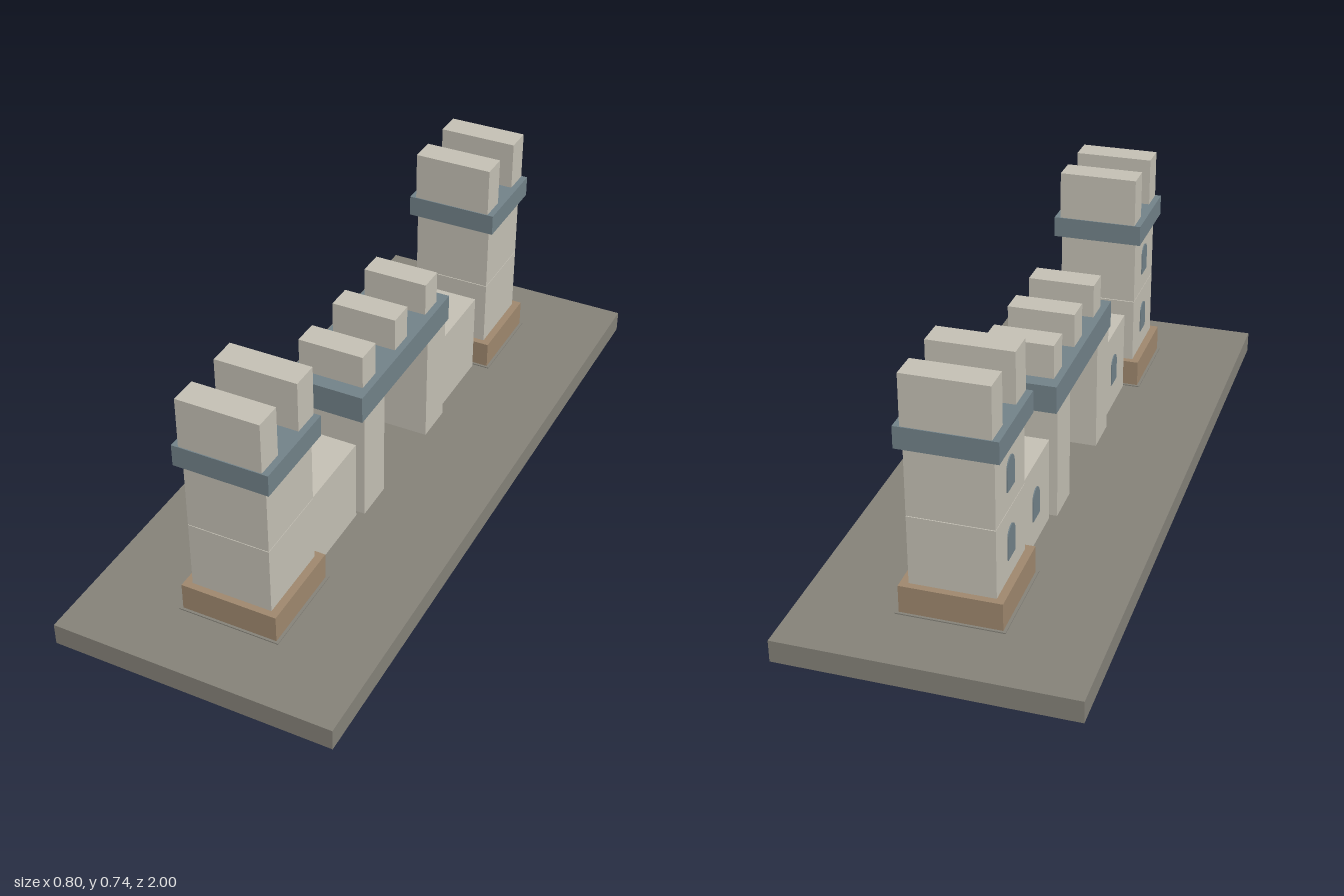
import * as THREE from 'three';

const flat = (name, color) => {
  const m = new THREE.MeshStandardMaterial({ color });
  m.name = name;
  return m;
};

export function createModel() {
  const stone = flat('pale stone', 0xc6c2b6);
  const slate = flat('blue slate', 0x73838a);
  const brick = flat('brown plinth', 0xa0896f);
  const ground = flat('ground', 0x86837a);

  const model = new THREE.Group();
  model.name = 'castleGate';

  // Box centred on x, given by its width, y range and z range
  const block = (parent, name, mat, width, y0, y1, z0, z1) => {
    const mesh = new THREE.Mesh(new THREE.BoxGeometry(width, y1 - y0, z1 - z0), mat);
    mesh.position.set(0, (y0 + y1) / 2, (z0 + z1) / 2);
    mesh.name = name;
    parent.add(mesh);
    return mesh;
  };

  // Thin arched window plate on the -x face
  const arch = new THREE.Shape();
  arch.moveTo(-0.028, -0.045);
  arch.lineTo(0.028, -0.045);
  arch.lineTo(0.028, 0.017);
  arch.absarc(0, 0.017, 0.028, 0, Math.PI, false);
  arch.closePath();
  const archGeometry = new THREE.ExtrudeGeometry(arch, { depth: 0.004, bevelEnabled: false, curveSegments: 6 });
  const windowPlate = (parent, x, y, z) => {
    const mesh = new THREE.Mesh(archGeometry, slate);
    mesh.rotation.y = -Math.PI / 2;
    mesh.position.set(x + 0.001, y, z);
    mesh.name = 'window';
    parent.add(mesh);
  };

  block(model, 'groundSlab', ground, 0.8, 0, 0.063, -1, 1);

  for (const side of [1, -1]) {
    // End tower: plinth, two storeys, band and two merlons
    const tower = new THREE.Group();
    tower.name = side > 0 ? 'frontTower' : 'backTower';
    tower.position.z = side * 0.667;
    model.add(tower);
    block(tower, 'footing', ground, 0.29, 0.06, 0.066, -0.14, 0.14);
    block(tower, 'plinth', brick, 0.274, 0.063, 0.144, -0.133, 0.133);
    block(tower, 'lowerStorey', stone, 0.23, 0.144, 0.339, -0.114, 0.114);
    block(tower, 'upperStorey', stone, 0.23, 0.341, 0.536, -0.114, 0.114);
    block(tower, 'band', slate, 0.266, 0.536, 0.597, -0.132, 0.132);
    block(tower, 'merlon', stone, 0.23, 0.597, 0.739, 0.051, 0.129);
    block(tower, 'merlon', stone, 0.23, 0.597, 0.739, -0.129, -0.051);
    for (const y of [0.245, 0.441]) windowPlate(tower, -0.115, y, 0);

    // Curtain wall with one window
    const wall = new THREE.Group();
    wall.name = side > 0 ? 'frontWall' : 'backWall';
    wall.position.z = side * 0.397;
    model.add(wall);
    block(wall, 'wallBlock', stone, 0.19, 0.063, 0.308, -0.123, 0.123);
    windowPlate(wall, -0.095, 0.187, 0);

    // Gate pillar
    block(model, 'gatePillar', stone, 0.226, 0.063, 0.39, side * 0.198 - 0.06, side * 0.198 + 0.06);
  }

  // Gate lintel and its merlons
  block(model, 'gateLintel', slate, 0.23, 0.39, 0.469, -0.275, 0.275);
  for (const z of [-0.194, 0, 0.194]) {
    block(model, 'gateMerlon', stone, 0.19, 0.469, 0.566, z - 0.038, z + 0.038);
  }

  return model;
}
